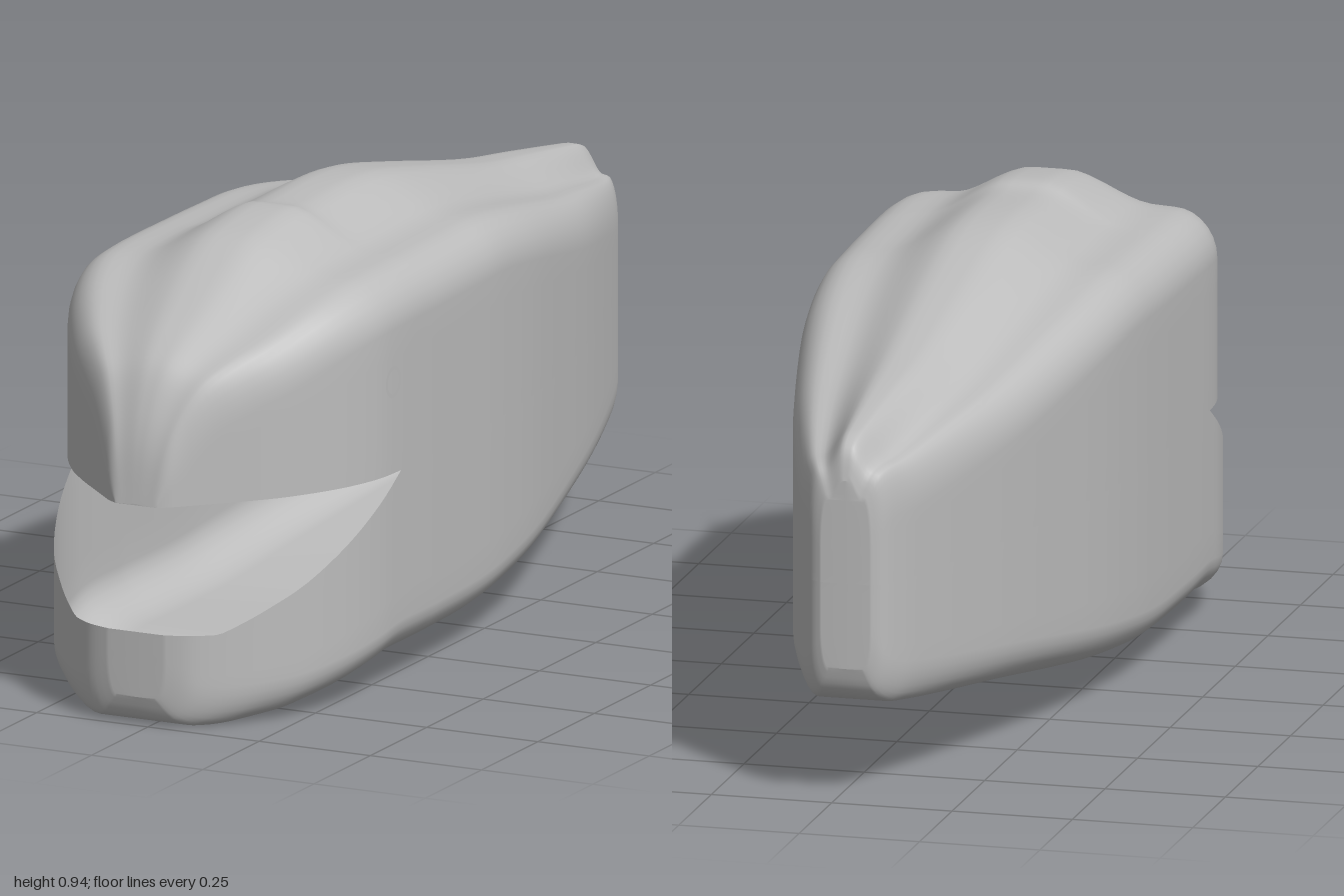
import * as THREE from 'three';

const MOUTH = 0.457;   // height of the straight upper lip
const HINGE = 0.51;    // z of the mouth corner
const SUB = 4;         // rows between two stations

// Stations from tail to nose: z, upper half width, ridge, shoulder, lower half width, belly
const STATIONS = [
  [-1, 0.05, 0.67, 0.63, 0.05, 0.28],
  [-0.985, 0.075, 0.725, 0.675, 0.075, 0.235],
  [-0.95, 0.097, 0.75, 0.692, 0.097, 0.207],
  [-0.88, 0.127, 0.763, 0.70, 0.127, 0.193],
  [-0.7, 0.187, 0.79, 0.732, 0.187, 0.17],
  [-0.5, 0.243, 0.82, 0.765, 0.243, 0.145],
  [-0.2, 0.308, 0.885, 0.825, 0.308, 0.1],
  [0, 0.334, 0.925, 0.855, 0.334, 0.075],
  [0.15, 0.343, 0.935, 0.858, 0.343, 0.062],
  [0.33, 0.348, 0.93, 0.858, 0.348, 0.06],
  [0.4, 0.349, 0.94, 0.858, 0.349, 0.06],
  [HINGE, 0.349, 0.93, 0.856, 0.349, 0.06],
  [0.6, 0.34, 0.912, 0.848, 0.345, 0.047],
  [0.7, 0.305, 0.865, 0.82, 0.325, 0.03],
  [0.8, 0.245, 0.805, 0.772, 0.285, 0.013],
  [0.87, 0.185, 0.76, 0.735, 0.235, 0.005],
  [0.92, 0.135, 0.715, 0.695, 0.19, 0.001],
  [0.96, 0.094, 0.64, 0.625, 0.145, 0.004],
  [0.985, 0.068, 0.56, 0.55, 0.107, 0.02],
  [1, 0.045, 0.46, 0.458, 0.06, 0.06],
];

// Smooth rows through the stations
function makeRows() {
  const at = (i) => STATIONS[Math.min(Math.max(i, 0), STATIONS.length - 1)];
  const rows = [];
  for (let i = 0; i < STATIONS.length - 1; i++) {
    for (let k = 0; k < SUB; k++) {
      const t = k / SUB;
      rows.push(at(i).map((b, c) => {
        const a = at(i - 1)[c], d = at(i + 1)[c], e = at(i + 2)[c];
        return b + 0.5 * t * (d - a + t * (2 * a - 5 * b + 4 * d - e + t * (3 * (b - d) + e - a)));
      }));
    }
  }
  rows.push(at(STATIONS.length - 1));
  return rows;
}

// Wall from y0 to the corner, then an elliptical corner ending at height y1
function wallAndCorner(w, y0, y1, rx, ry) {
  const pts = [];
  const dir = Math.sign(y1 - y0) || 1;
  for (let i = 0; i < 5; i++) pts.push([w, y0 + (y1 - dir * ry - y0) * i / 5]);
  for (let i = 0; i <= 7; i++) {
    const a = (i / 7) * Math.PI / 2;
    pts.push([w - rx + rx * Math.cos(a), y1 - dir * ry + dir * ry * Math.sin(a)]);
  }
  return pts;
}

// Right to left across the back: sloping shoulders with a raised ridge in the middle
function upperSection([z, w, top, shoulder]) {
  const rx = w * 0.27;
  const pts = wallAndCorner(w, MOUTH, shoulder, rx, Math.min(0.1, Math.abs(shoulder - MOUTH) * 0.6));
  for (let i = 1; i <= 10; i++) {
    const x = (w - rx) * (1 - i / 10);
    const ridge = 1 - THREE.MathUtils.smoothstep(x / w, 0.1, 0.6);
    pts.push([x, shoulder + (top - shoulder) * (0.82 * ridge + 0.18 * Math.min(1, i / 8))]);
  }
  const other = pts.slice(0, -1).reverse().map(([x, y]) => [-x, y]);
  return [...pts, ...other].map(([x, y]) => [x, y, z]);
}

// Left to right under the belly, with the lip sloping down ahead of the mouth corner
function lowerSection([z, , , , w, belly]) {
  const lip = Math.max(0.195, MOUTH - Math.max(0, z - HINGE) * 0.6);
  const pts = wallAndCorner(w, lip, belly, w * 0.32, Math.min(0.085, (lip - belly) * 0.7));
  pts.push([0, belly]);
  const left = pts.map(([x, y]) => [-x, y]);
  const right = pts.slice(0, -1).reverse();
  return [...left, ...right].map(([x, y]) => [x, y, z]);
}

// Skin over the sections; both ends are closed onto the middle plane
function loft(sections) {
  const flat = (s) => s.map(([, y, z]) => [0, y, z]);
  const all = [flat(sections[0]), ...sections, flat(sections[sections.length - 1])];
  const n = all[0].length;
  const index = [];
  for (let j = 0; j < all.length - 1; j++) {
    for (let i = 0; i < n - 1; i++) {
      const a = j * n + i, b = a + n;
      index.push(a, a + 1, b, a + 1, b + 1, b);
    }
  }
  const geo = new THREE.BufferGeometry();
  geo.setAttribute('position', new THREE.Float32BufferAttribute(all.flat(2), 3));
  geo.setIndex(index);
  geo.computeVertexNormals();
  return geo;
}

export function createModel() {
  const group = new THREE.Group();
  group.name = 'whaleHead';
  const grey = new THREE.MeshStandardMaterial({ color: 0xbcbcbc, side: THREE.DoubleSide });
  grey.name = 'grey';

  const add = (name, geo, x, y, z) => {
    const mesh = new THREE.Mesh(geo, grey);
    mesh.name = name;
    mesh.position.set(x, y, z);
    group.add(mesh);
    return mesh;
  };

  // Hollow body in two shells that meet at the mouth line
  const rows = makeRows();
  add('upperBody', loft(rows.map(upperSection)), -0.028, 0, 0);
  add('lowerBody', loft(rows.map(lowerSection)), -0.028, 0, 0);

  // Flat eye ring standing off one side
  add('eyeRing', new THREE.RingGeometry(0.025, 0.033, 32), 0.377, 0.68, 0.655).rotation.y = Math.PI / 2;

  return group;
}
